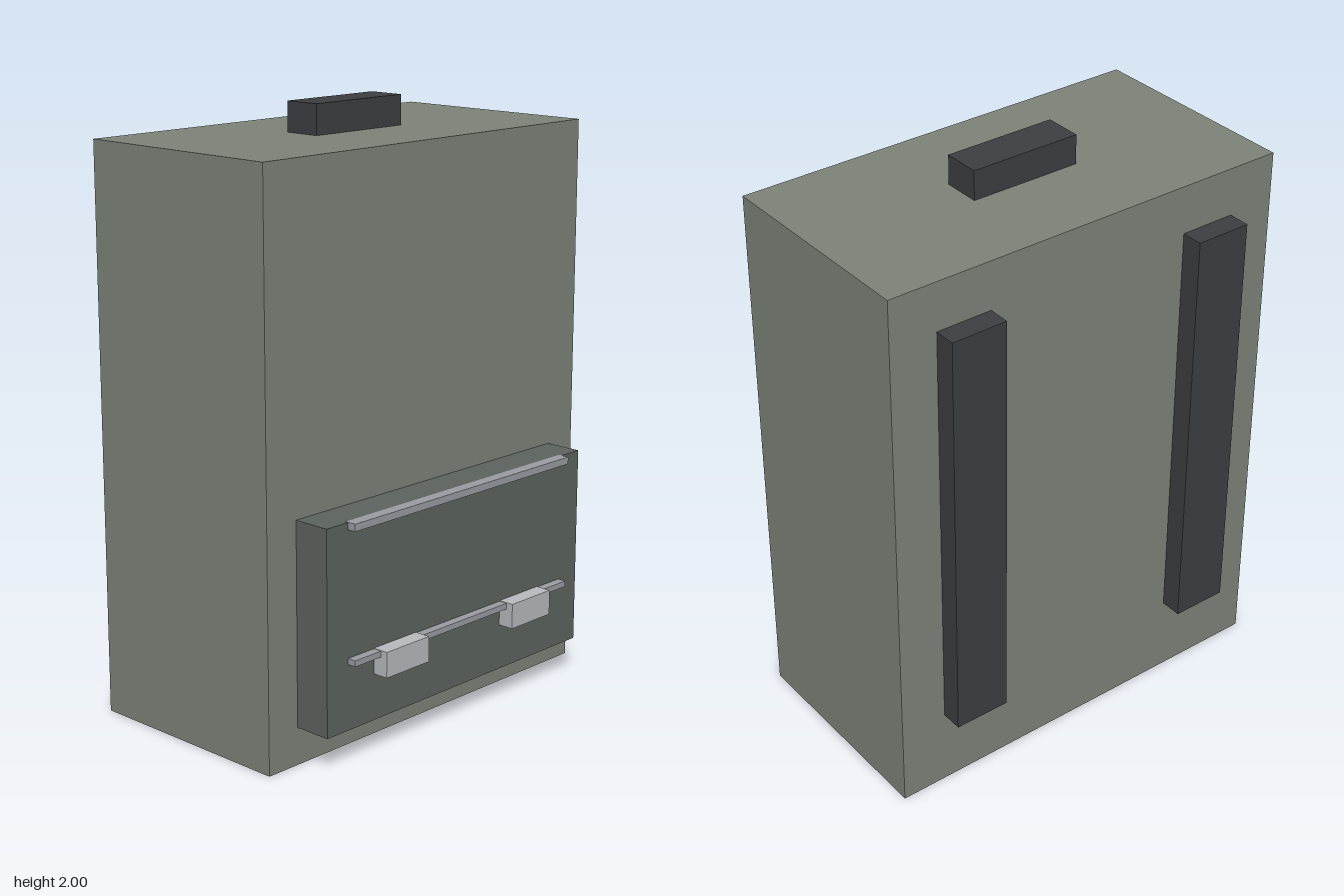
import * as THREE from 'three';

const material = (color) => new THREE.MeshStandardMaterial({ color, flatShading: true });

export function createModel() {
  const group = new THREE.Group();
  const canvas = material(0x7d8479);
  const pocketCloth = material(0x5d645f);
  const webbing = material(0x3c3f42);
  const zipMetal = material(0x9a9da3);
  const buckleMetal = material(0xb8bcbf);

  // Box given by its [min, max] range on each axis
  function addBox(name, mat, [x0, x1], [y0, y1], [z0, z1]) {
    const mesh = new THREE.Mesh(new THREE.BoxGeometry(x1 - x0, y1 - y0, z1 - z0), mat);
    mesh.position.set((x0 + x1) / 2, (y0 + y1) / 2, (z0 + z1) / 2);
    mesh.name = name;
    group.add(mesh);
  }

  // Main bag, front pocket and carry handle
  addBox('body', canvas, [-0.73, 0.73], [0, 1.9], [-0.435, 0.325]);
  addBox('frontPocket', pocketCloth, [-0.607, 0.607], [0.125, 0.8], [0.325, 0.455]);
  addBox('topHandle', webbing, [-0.195, 0.195], [1.9, 2], [-0.12, 0.01]);

  // Zippers across the pocket
  addBox('upperZipper', zipMetal, [-0.515, 0.515], [0.777, 0.801], [0.445, 0.485]);
  addBox('lowerZipper', zipMetal, [-0.515, 0.515], [0.343, 0.363], [0.445, 0.485]);

  // Mirrored shoulder straps and buckles
  for (const [side, s] of [['left', 1], ['right', -1]]) {
    const across = (a, b) => (s > 0 ? [a, b] : [-b, -a]);
    addBox(side + 'ShoulderStrap', webbing, across(0.37, 0.565), [0.275, 1.735], [-0.51, -0.435]);
    addBox(side + 'Buckle', buckleMetal, across(0.205, 0.4), [0.28, 0.365], [0.455, 0.51]);
  }
  return group;
}
